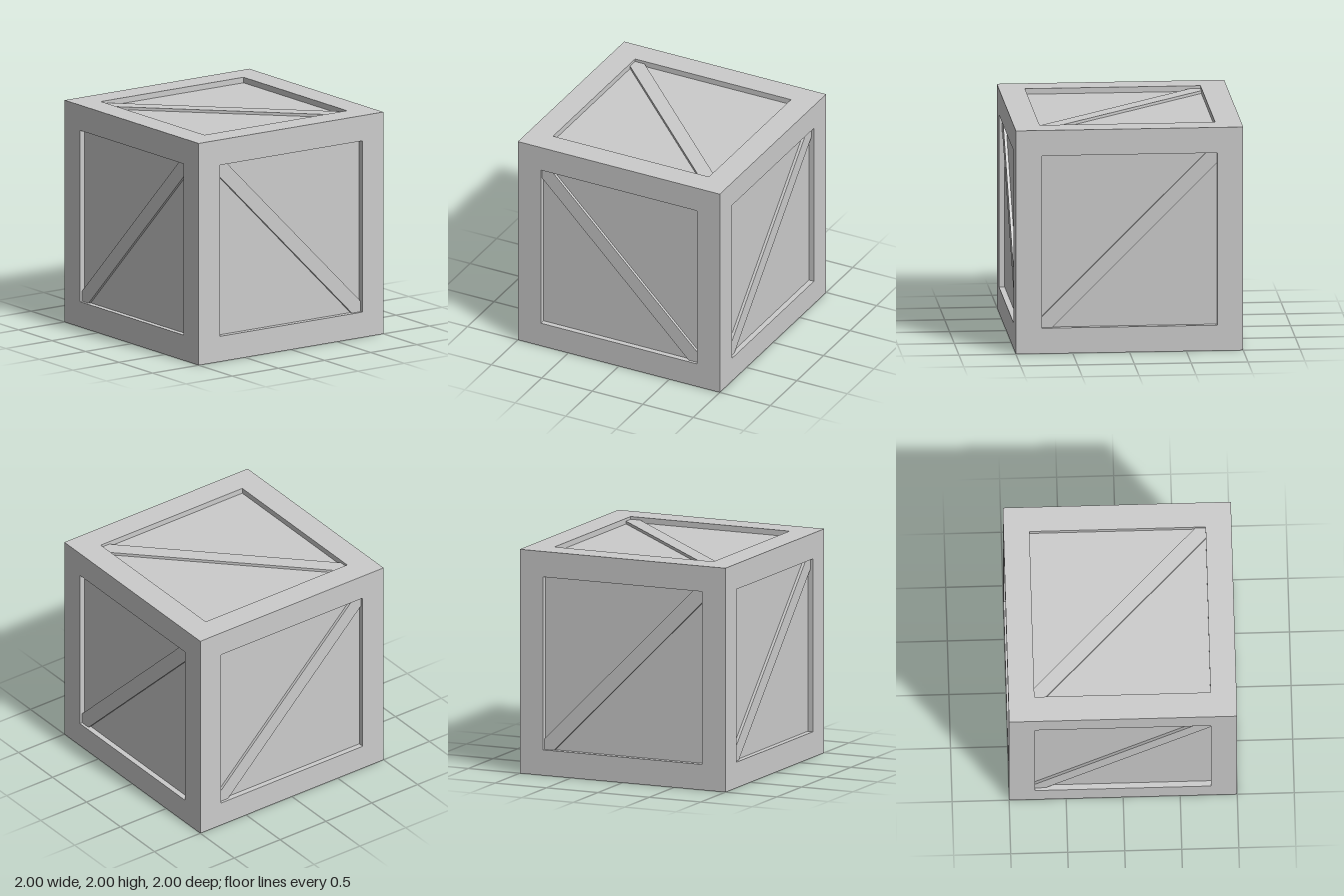
import * as THREE from 'three';

export function createModel() {
  const model = new THREE.Group();
  model.name = 'crate';
  const mat = new THREE.MeshStandardMaterial({ color: 0xcccccc, flatShading: true });

  const opening = 0.772;            // half width of the recessed opening
  const beam = 1 - opening;         // thickness of the frame timbers
  const mid = 1 - beam / 2;         // centre line of the timbers
  const panelAt = 0.95;             // recessed panel plane
  const braceAt = 0.975;            // outer face of the diagonal braces

  const body = new THREE.Group();
  body.name = 'crateBody';
  body.position.y = 1;
  model.add(body);

  const box = (name, w, h, d, x, y, z) => {
    const mesh = new THREE.Mesh(new THREE.BoxGeometry(w, h, d), mat);
    mesh.name = name;
    mesh.position.set(x, y, z);
    body.add(mesh);
  };

  // Recessed panels on all six sides
  box('panels', panelAt * 2, panelAt * 2, panelAt * 2, 0, 0, 0);

  // Frame: four corner posts with rails butted between them
  for (const a of [-1, 1]) {
    for (const b of [-1, 1]) {
      box('cornerPost', beam, 2, beam, a * mid, 0, b * mid);
      box('crossRail', opening * 2, beam, beam, 0, a * mid, b * mid);
      box('sideRail', beam, beam, opening * 2, a * mid, b * mid, 0);
    }
  }

  // Diagonal brace, trimmed to the corners of the opening
  const o = opening, t = opening - 0.094;
  const outline = [[-o, -o], [-t, -o], [o, t], [o, o], [t, o], [-o, -t]];
  const braceShape = new THREE.Shape(outline.map(([x, y]) => new THREE.Vector2(x, y)));
  const inset = 0.01;
  const braceGeo = new THREE.ExtrudeGeometry(braceShape, {
    depth: braceAt - panelAt + inset, bevelEnabled: false,
  });
  braceGeo.translate(0, 0, panelAt - inset);

  // One brace per side: [name, tilt about x, turn about y, roll in the face]
  const q = Math.PI / 2;
  const sides = [
    ['frontBrace', 0, 0, 0],
    ['backBrace', 0, 2 * q, 0],
    ['leftBrace', 0, q, q],
    ['rightBrace', 0, -q, 0],
    ['topBrace', -q, 0, 0],
    ['bottomBrace', q, 0, 0],
  ];
  for (const [name, rx, ry, rz] of sides) {
    const brace = new THREE.Mesh(braceGeo, mat);
    brace.name = name;
    brace.rotation.set(rx, ry, rz);
    body.add(brace);
  }

  return model;
}
